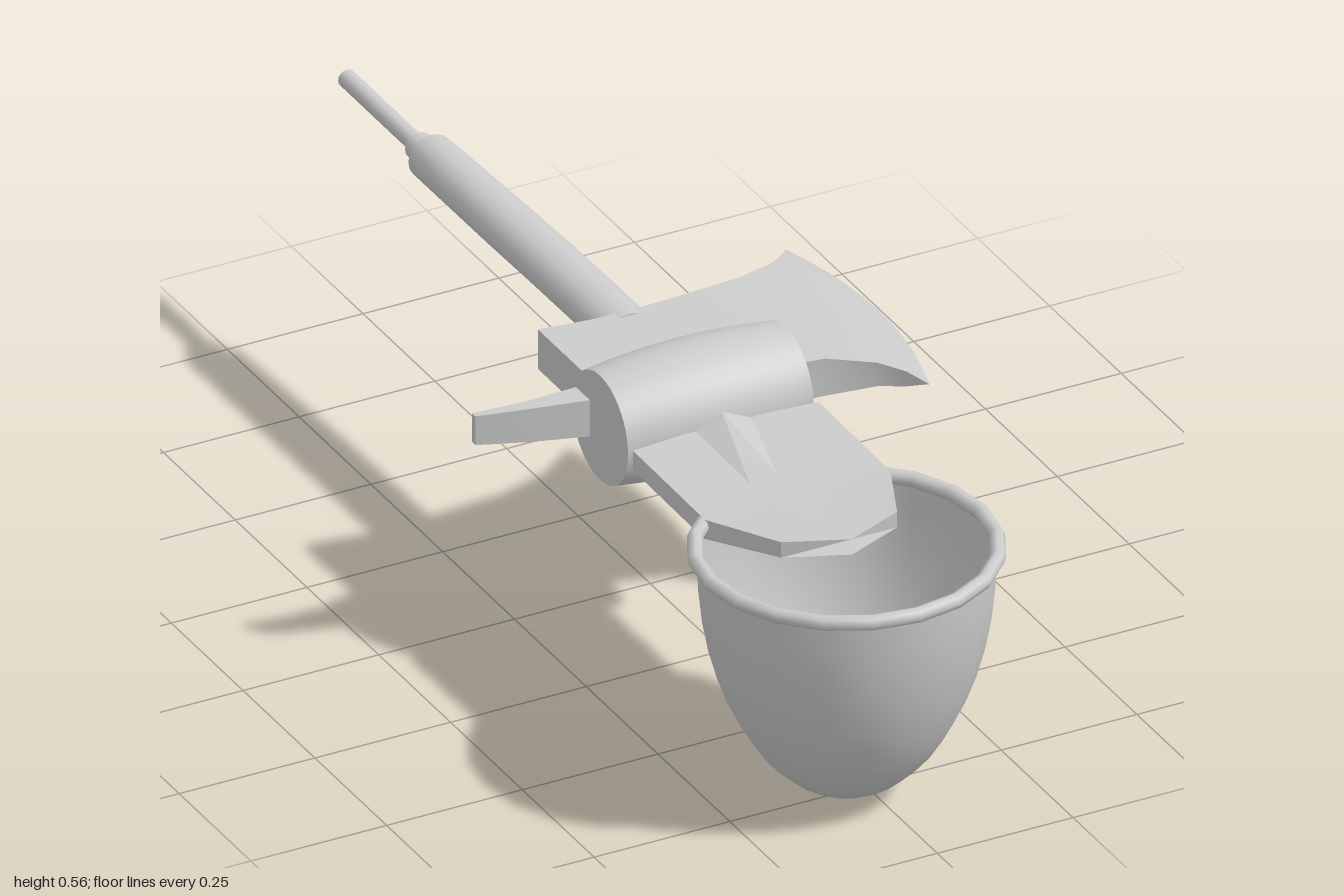
import * as THREE from 'three';
import { toCreasedNormals } from 'three/addons/utils/BufferGeometryUtils.js';

const MID = 0.45;   // height of the long axis
const CX = -0.03;   // x of the long axis

export function createModel() {
  const group = new THREE.Group();
  const grey = new THREE.MeshStandardMaterial({ color: 0xcccccc });
  const greyOpen = new THREE.MeshStandardMaterial({ color: 0xcccccc, side: THREE.DoubleSide });

  function add(name, geometry, material = grey) {
    const mesh = new THREE.Mesh(geometry, material);
    mesh.name = name;
    group.add(mesh);
    return mesh;
  }

  // Capped solid through rings; each ring runs counter-clockwise about the direction of travel
  function loft(rings, crease = 0.5) {
    const pos = [];
    const tri = (...pts) => pts.forEach((p) => pos.push(p[0], p[1], p[2]));
    const n = rings[0].length;
    for (let i = 0; i + 1 < rings.length; i++) {
      for (let j = 0; j < n; j++) {
        const k = (j + 1) % n;
        const a = rings[i][j], b = rings[i][k], c = rings[i + 1][k], d = rings[i + 1][j];
        tri(a, b, c);
        tri(a, c, d);
      }
    }
    const first = rings[0], last = rings[rings.length - 1];
    for (let j = 1; j + 1 < n; j++) {
      tri(first[0], first[j + 1], first[j]);
      tri(last[0], last[j], last[j + 1]);
    }
    const g = new THREE.BufferGeometry();
    g.setAttribute('position', new THREE.Float32BufferAttribute(pos, 3));
    return toCreasedNormals(g, crease);
  }

  // Flat slab along x from sections [x, back z, front z, half height, forward bulge]
  function slab(sections, steps) {
    return loft(sections.map(([x, z0, z1, h, bulge = 0]) => {
      const ring = [];
      for (const side of [1, -1]) {
        for (let i = 0; i <= steps; i++) {
          const s = side * (2 * i / steps - 1);
          ring.push([x + bulge * (1 - s * s), MID + side * h, (z0 + z1) / 2 + s * (z1 - z0) / 2]);
        }
      }
      return ring;
    }));
  }

  // Pointed bowl, half an ellipsoid, open at the top
  const profile = [];
  for (let i = 0; i <= 12; i++) {
    const a = (i / 12) * Math.PI / 2;
    profile.push(new THREE.Vector2(0.247 * Math.sin(a), MID * (1 - Math.cos(a))));
  }
  add('bowl', new THREE.LatheGeometry(profile, 20), greyOpen).position.set(CX, 0, 0.74);

  // Rolled rim
  const rim = add('bowlRim', new THREE.TorusGeometry(0.249, 0.0135, 8, 20));
  rim.rotation.x = Math.PI / 2;
  rim.position.set(CX, MID, 0.74);

  // Neck plate ending in a pointed tongue: [z, half width, bottom, top, ridge, centre offset in z]
  const plate = [
    [0.32, 0.171, 0.428, 0.465, 0.487, -0.015],
    [0.5, 0.171, 0.426, 0.463, 0.465, 0],
    [0.57, 0.171, 0.426, 0.462, 0.463, 0],
    [0.715, 0.107, 0.447, 0.476, 0.476, 0.045],
  ];
  add('neckPlate', loft(plate.map(([z, w, bottom, top, ridge, bow]) => {
    const q = w * 0.3;
    return [
      [CX - w, bottom, z], [CX, bottom, z + bow], [CX + w, bottom, z], [CX + w, top, z],
      [CX + q, top, z + bow * 0.7], [CX, ridge, z + bow], [CX - q, top, z + bow * 0.7], [CX - w, top, z],
    ];
  }), 0.15));

  // Slightly swollen cross barrel
  const barrelProfile = [[0, -0.171]];
  for (let i = 0; i <= 8; i++) {
    const s = i / 4 - 1;
    barrelProfile.push([0.11 - 0.012 * s * s, 0.171 * s]);
  }
  barrelProfile.push([0, 0.171]);
  const barrelGeometry = new THREE.LatheGeometry(barrelProfile.map((p) => new THREE.Vector2(...p)), 32);
  const barrel = add('crossBarrel', toCreasedNormals(barrelGeometry, 0.5));
  barrel.rotation.z = Math.PI / 2;
  barrel.position.set(CX, MID, 0.205);

  // Head block flaring into a curved cutting edge
  add('axeBlade', slab([
    [-0.17, -0.07, 0.22, 0.037],
    [-0.07, -0.057, 0.215, 0.037],
    [0.04, -0.057, 0.215, 0.037],
    [0.2, -0.07, 0.23, 0.035],
    [0.28, -0.107, 0.262, 0.022, 0.015],
    [0.315, -0.137, 0.297, 0.014, 0.027],
    [0.34, -0.17, 0.33, 0, 0.04],
  ], 10));

  // Blunt spike opposite the blade
  add('sideSpike', slab([
    [-0.385, 0.107, 0.119, 0.027],
    [-0.3, 0.12, 0.145, 0.031],
    [-0.17, 0.122, 0.178, 0.035],
  ], 1));

  // Handle with one bowed side: [z, left edge, right edge]
  const grip = [
    [-0.71, -0.07, 0.013], [-0.6, -0.07, 0.018], [-0.45, -0.07, 0.025],
    [-0.3, -0.068, 0.03], [-0.15, -0.067, 0.032], [-0.04, -0.067, 0.032],
  ];
  add('handle', loft(grip.map(([z, x0, x1]) => Array.from({ length: 20 }, (_, i) => {
    const a = i / 20 * Math.PI * 2;
    return [(x0 + x1) / 2 + Math.cos(a) * (x1 - x0) / 2, MID + Math.sin(a) * 0.04, z];
  }))));

  // Collar and end rod
  for (const [name, r, z0, z1] of [['handleCollar', 0.025, -0.75, -0.7], ['endRod', 0.016, -1, -0.74]]) {
    const rod = add(name, new THREE.CylinderGeometry(r, r, z1 - z0, 16));
    rod.rotation.x = Math.PI / 2;
    rod.position.set(CX, MID, (z0 + z1) / 2);
  }

  return group;
}
